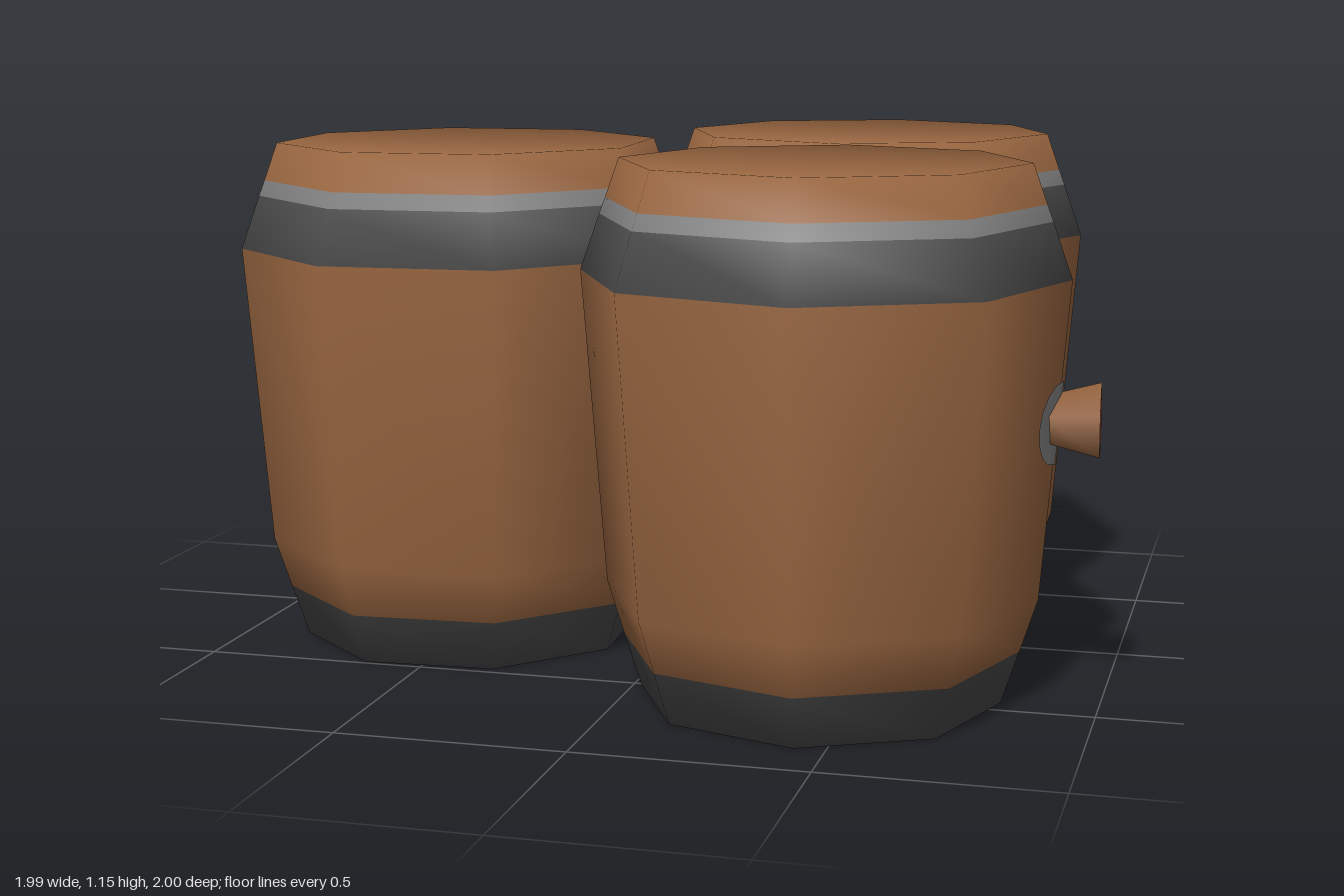
import * as THREE from 'three';

const SIDES = 8;
const rad = THREE.MathUtils.degToRad;

// Barrel profile, bottom to top: [height, radius, upward tilt of the soft normal in degrees]
const PROFILE = [
  [0, 0.39, -50],
  [0.115, 0.428, -29],
  [0.23, 0.465, -8],
  [0.91, 0.52, 3],
  [1.03, 0.478, 29],
  [1.065, 0.465, 36],
  [1.15, 0.435, 55],
];
const WOOD = 0, IRON = 1, RIM = 2, RED = 3;
// Colour of each strip between two neighbouring profile rings
const STRIPS = [IRON, WOOD, WOOD, IRON, RIM, WOOD];

// Octagonal staved body with smooth shading and painted iron bands
function bodyGeometry() {
  const pos = [], nor = [], index = [];
  const g = new THREE.BufferGeometry();
  for (const [y, r, tilt] of PROFILE) {
    const out = Math.cos(rad(tilt)), up = Math.sin(rad(tilt));
    for (let i = 0; i < SIDES; i++) {
      const a = (i / SIDES) * Math.PI * 2;
      pos.push(r * Math.cos(a), y, r * Math.sin(a));
      nor.push(out * Math.cos(a), up, out * Math.sin(a));
    }
  }
  STRIPS.forEach((material, k) => {
    g.addGroup(index.length, SIDES * 6, material);
    for (let i = 0; i < SIDES; i++) {
      const p = k * SIDES + i, q = k * SIDES + ((i + 1) % SIDES);
      index.push(p, p + SIDES, q + SIDES, p, q + SIDES, q);
    }
  });
  // Flat lid and base
  const start = index.length, top = (PROFILE.length - 1) * SIDES;
  for (let i = 1; i < SIDES - 1; i++) {
    index.push(0, i, i + 1, top, top + i + 1, top + i);
  }
  g.addGroup(start, index.length - start, WOOD);
  g.setAttribute('position', new THREE.Float32BufferAttribute(pos, 3));
  g.setAttribute('normal', new THREE.Float32BufferAttribute(nor, 3));
  g.setIndex(index);
  return g;
}

// Thin round plate folded over the barrel's corner, facing +x
function plateGeometry() {
  const g = new THREE.CircleGeometry(0.09, 16).rotateY(Math.PI / 2);
  const p = g.attributes.position;
  for (let i = 0; i < p.count; i++) {
    p.setX(i, 0.5 + p.getY(i) * 0.081 - Math.abs(p.getZ(i)) * Math.tan(Math.PI / 8));
  }
  g.computeVertexNormals();
  return g;
}

export function createModel() {
  const mat = (name, color) => Object.assign(new THREE.MeshStandardMaterial({ color }), { name });
  const materials = [
    mat('brown wood', 0x96643f),
    mat('dark iron', 0x4a4a4a),
    mat('light iron', 0x7c7c7c),
    mat('red stopper', 0xa04a38),
  ];

  const body = bodyGeometry();
  const plate = plateGeometry();
  // Five-sided bung flaring outward along +x
  const bung = new THREE.CylinderGeometry(0.083, 0.052, 0.115, 5, 1, false, -Math.PI / 2)
    .rotateZ(-Math.PI / 2);
  const bungMaterials = [materials[WOOD], materials[RED], materials[WOOD]];

  function barrel(name, x, z, turn) {
    const group = new THREE.Group();
    group.name = name;
    const add = (part, geometry, material, px = 0, py = 0) => {
      const mesh = new THREE.Mesh(geometry, material);
      mesh.name = part;
      mesh.position.set(px, py, 0);
      group.add(mesh);
    };
    add('barrelBody', body, materials);
    add('bungPlate', plate, materials[RIM], 0, 0.61);
    add('bung', bung, bungMaterials, 0.5275, 0.615);
    group.position.set(x, 0, z);
    group.rotation.y = rad(turn);
    return group;
  }

  const model = new THREE.Group();
  model.name = 'barrelCluster';
  model.add(
    barrel('backBarrel', 0.33, -0.42, 90),
    barrel('frontBarrel', 0.405, 0.475, 4.3),
    barrel('sideBarrel', -0.503, 0.122, 115.3),
  );
  return model;
}
